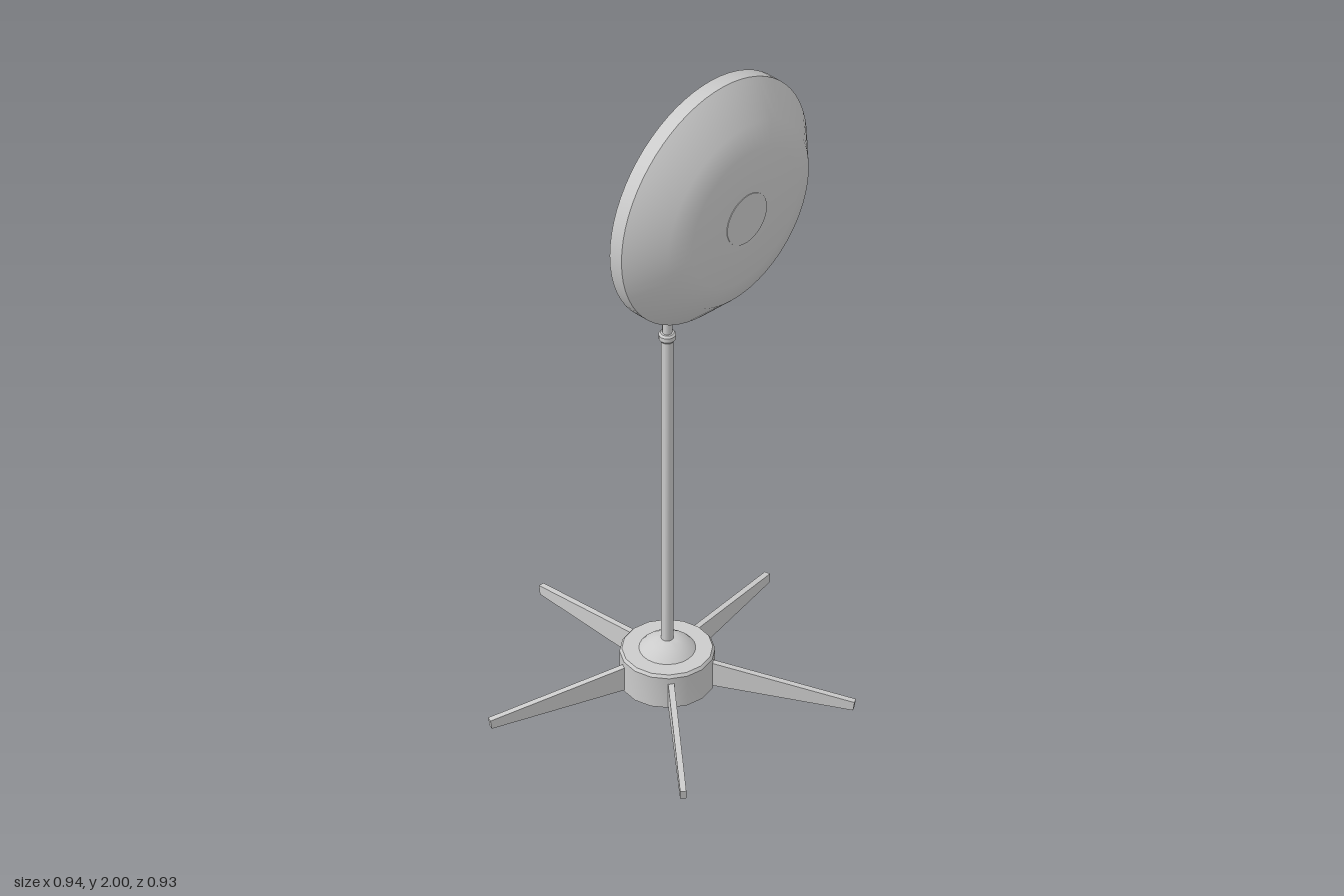
import * as THREE from 'three';
import { toCreasedNormals } from 'three/addons/utils/BufferGeometryUtils.js';

export function createModel() {
  const model = new THREE.Group();
  model.name = 'dishOnStand';
  const material = new THREE.MeshStandardMaterial({ color: 0xcccccc });

  // Everything shares the pole's axis, slightly off the origin
  const stand = new THREE.Group();
  stand.name = 'stand';
  stand.position.set(-0.018, 0, 0.028);
  model.add(stand);

  const add = (name, geometry, y = 0, z = 0) => {
    const mesh = new THREE.Mesh(toCreasedNormals(geometry, 0.6), material);
    mesh.name = name;
    mesh.position.set(0, y, z);
    stand.add(mesh);
    return mesh;
  };
  const lathe = (profile, sides) =>
    new THREE.LatheGeometry(profile.map(([r, y]) => new THREE.Vector2(r, y)), sides);

  // Round hub with a low dome on top
  add('hub', lathe([[0, 0.01], [0.123, 0.01], [0.123, 0.104], [0.117, 0.112], [0, 0.112]], 16));
  add('hubDome', lathe([[0.075, 0.11], [0.064, 0.122], [0.045, 0.135], [0.028, 0.143], [0, 0.145]], 24));

  // Five tapering legs
  const legShape = new THREE.Shape([
    [0.1, 0.016], [0.492, 0], [0.496, 0.026], [0.1, 0.09],
  ].map(([x, y]) => new THREE.Vector2(x, y)));
  for (let i = 0; i < 5; i++) {
    const leg = new THREE.ExtrudeGeometry(legShape, { depth: 0.016, bevelEnabled: false });
    leg.translate(0, 0, -0.008);
    add('leg' + (i + 1), leg).rotation.y = -THREE.MathUtils.degToRad(-11.4 + 72 * i);
  }

  // Telescopic pole with a clamping collar
  add('lowerPole', new THREE.CylinderGeometry(0.016, 0.016, 0.98, 16), 0.63);
  add('poleCollar', lathe([[0, 1.11], [0.018, 1.11], [0.023, 1.117], [0.023, 1.13], [0.018, 1.136], [0, 1.136]], 16));
  add('upperPole', new THREE.CylinderGeometry(0.013, 0.013, 0.48, 16), 1.35);

  // Arched housing that carries the dish, with chamfered rear edges
  const arch = new THREE.Shape();
  arch.moveTo(-0.03, -0.033);
  arch.lineTo(0.03, -0.033);
  arch.lineTo(0.03, 0.012);
  arch.quadraticCurveTo(0.026, 0.035, 0, 0.035);
  arch.quadraticCurveTo(-0.026, 0.035, -0.03, 0.012);
  const housing = new THREE.ExtrudeGeometry(arch, {
    depth: 0.112, bevelSize: 0.007, bevelThickness: 0.014, bevelSegments: 1, curveSegments: 8,
  });
  add('housing', housing, 1.648, -0.049);
  add('housingBracket', new THREE.BoxGeometry(0.04, 0.022, 0.05), 1.599, 0.018);

  // Shallow closed dish facing forward, as [radius, distance along z]
  const dish = lathe([
    [0, 0.068], [0.08, 0.068], [0.2, 0.08], [0.352, 0.123], [0.352, 0.164],
    [0.267, 0.248], [0.2, 0.271], [0.075, 0.277], [0, 0.277],
  ], 64);
  dish.rotateX(Math.PI / 2);
  add('dish', dish, 1.648);

  // Thin round cap in the middle of the dish's front
  const cap = new THREE.CylinderGeometry(0.075, 0.075, 0.004, 32);
  cap.rotateX(Math.PI / 2);
  add('dishCap', cap, 1.648, 0.277);

  return model;
}
